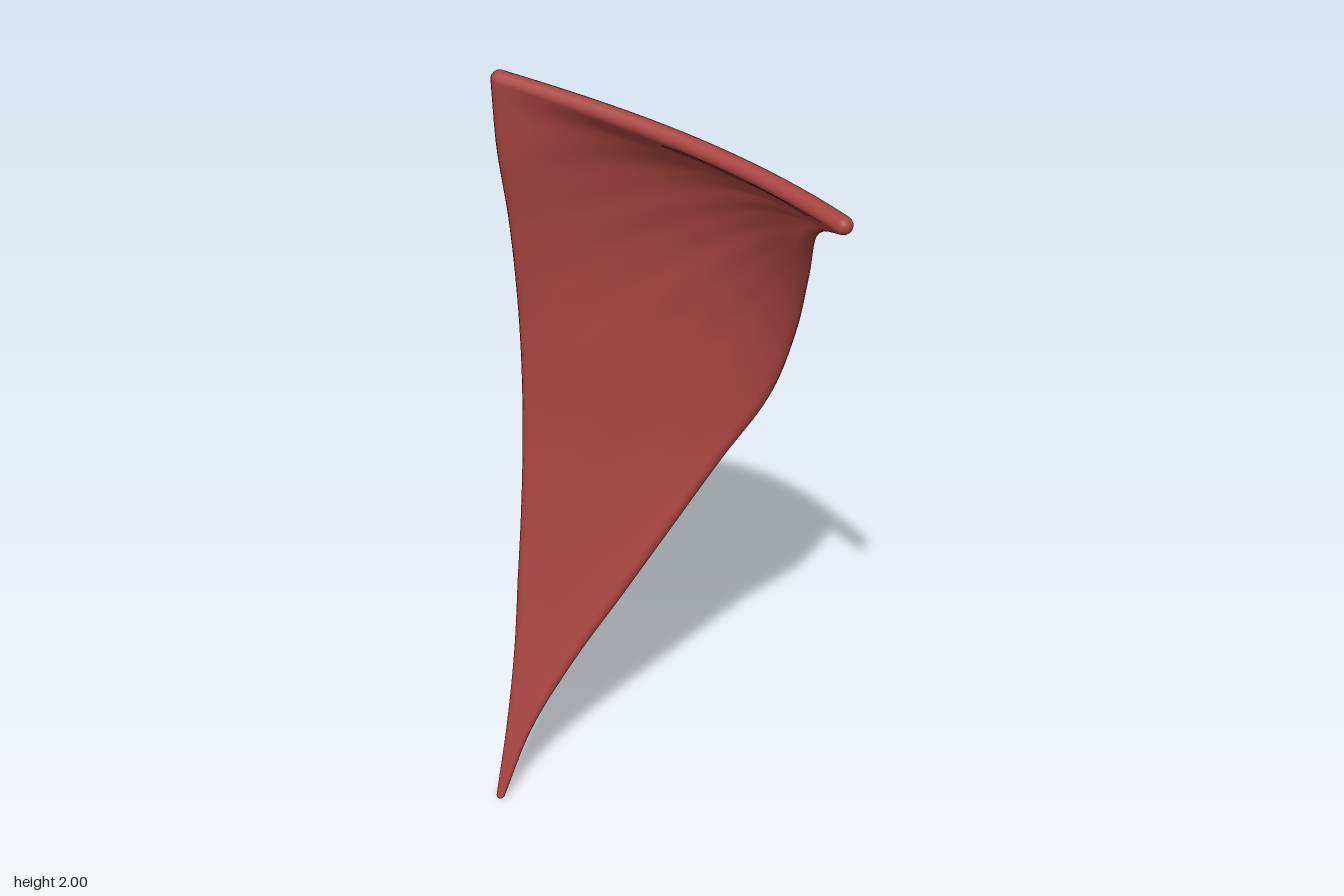
import * as THREE from 'three';

// Rows from foot to head: luff x, y, z, middle z, leech x, y, z
const ROWS = [
  [-0.462, 0.010, 0.123, 0.122, -0.460, 0.010, 0.122],
  [-0.448, 0.20, 0.074, 0.065, -0.412, 0.20, 0.061],
  [-0.441, 0.40, 0.024, 0.002, -0.325, 0.40, -0.003],
  [-0.440, 0.60, -0.015, -0.055, -0.219, 0.60, -0.067],
  [-0.440, 0.80, -0.047, -0.103, -0.110, 0.80, -0.124],
  [-0.441, 1.00, -0.069, -0.141, 0.000, 1.00, -0.169],
  [-0.442, 1.20, -0.076, -0.158, 0.116, 1.20, -0.180],
  [-0.444, 1.40, -0.068, -0.165, 0.189, 1.40, -0.148],
  [-0.447, 1.60, -0.046, -0.145, 0.249, 1.60, -0.072],
  [-0.449, 1.80, -0.005, -0.086, 0.312, 1.78, 0.040],
  [-0.449, 1.92, 0.007, -0.015, 0.374, 1.855, 0.110],
  [-0.448, 1.979, 0.013, 0.062, 0.450, 1.900, 0.183],
];
const NU = 60, NV = 120;

// Half the cloth thickness, thinning towards the foot
const half = (y) => 0.009 + 0.012 * Math.min(1, Math.max(0, y) / 0.6);

const spline = (pick) => new THREE.CatmullRomCurve3(ROWS.map((r) => new THREE.Vector3(...pick(r))));
const luff = spline((r) => [r[0], r[1], r[2]]);
const middle = spline((r) => [(r[0] + r[4]) / 2, (r[1] + r[5]) / 2, r[3]]);
const leech = spline((r) => [r[4], r[5], r[6]]);

// Parabola through three values at t = 0, 0.5 and 1
const parabola = (a, m, b, t) => 2 * a * (t - 0.5) * (t - 1) + 4 * m * t * (1 - t) + 2 * b * t * (t - 0.5);

// Point on the billowed cloth, its belly shifted towards the leech
function clothPoint(u, v) {
  const a = luff.getPoint(v), m = middle.getPoint(v), b = leech.getPoint(v);
  const p = new THREE.Vector3(
    parabola(a.x, m.x, b.x, u),
    parabola(a.y, m.y, b.y, u),
    parabola(a.z, m.z, b.z, Math.pow(u, 1.35)),
  );
  // Shallow creases fanning out from the pulled corner
  const dx = 0.5 - p.x, dy = 1.93 - p.y;
  const angle = Math.atan2(dy, dx);
  const fade = Math.min(1, 6 * u * (1 - u)) * Math.min(1, 8 * (1 - v)) * Math.min(1, 4 * v);
  const pull = 0.35 + 0.65 * Math.exp(-2.5 * Math.hypot(dx, dy));
  p.z += fade * pull * (0.003 * Math.sin(angle * 19 + 0.6) + 0.002 * Math.sin(angle * 47 + p.y * 5));
  return p;
}

// Moves every vertex along its normal by a distance that depends on its height
function inflate(geo, distance) {
  const P = geo.attributes.position, N = geo.attributes.normal;
  const p = new THREE.Vector3(), n = new THREE.Vector3();
  for (let k = 0; k < P.count; k++) {
    p.fromBufferAttribute(P, k);
    n.fromBufferAttribute(N, k);
    p.addScaledVector(n, distance(p.y));
    P.setXYZ(k, p.x, p.y, p.z);
  }
  return geo;
}

// One face of the cloth
function clothSide(side) {
  const pos = [], index = [];
  for (let j = 0; j <= NV; j++) {
    for (let i = 0; i <= NU; i++) pos.push(...clothPoint(i / NU, j / NV).toArray());
  }
  for (let j = 0; j < NV; j++) {
    for (let i = 0; i < NU; i++) {
      const a = j * (NU + 1) + i, b = a + 1, c = a + NU + 1, d = c + 1;
      if (side > 0) index.push(a, b, d, a, d, c);
      else index.push(a, d, b, a, c, d);
    }
  }
  const geo = new THREE.BufferGeometry();
  geo.setAttribute('position', new THREE.Float32BufferAttribute(pos, 3));
  geo.setIndex(index);
  geo.computeVertexNormals();
  return inflate(geo, half);
}

// Rounded hem along an edge of the cloth
function hem(curve) {
  const radius = 0.01;
  return inflate(new THREE.TubeGeometry(curve, 90, radius, 14), (y) => half(y) - radius);
}

export function createModel() {
  const group = new THREE.Group();
  group.name = 'sail';
  const cloth = new THREE.MeshStandardMaterial({ color: 0xa84440 });
  cloth.name = 'red cloth';
  const add = (name, geo) => {
    const mesh = new THREE.Mesh(geo, cloth);
    mesh.name = name;
    group.add(mesh);
    return mesh;
  };

  add('clothFront', clothSide(1));
  add('clothBack', clothSide(-1));

  // Hems close the three edges
  const headPoints = [];
  for (let i = 0; i <= 12; i++) headPoints.push(clothPoint(i / 12, 1));
  const hems = { luffHem: luff, leechHem: leech, headHem: new THREE.CatmullRomCurve3(headPoints) };
  for (const [name, curve] of Object.entries(hems)) add(name, hem(curve));

  // Rounded corners
  const corners = { footCorner: luff.getPoint(0), headCorner: luff.getPoint(1), pulledCorner: leech.getPoint(1) };
  for (const [name, p] of Object.entries(corners)) {
    add(name, new THREE.SphereGeometry(half(p.y), 16, 12)).position.copy(p);
  }
  return group;
}
